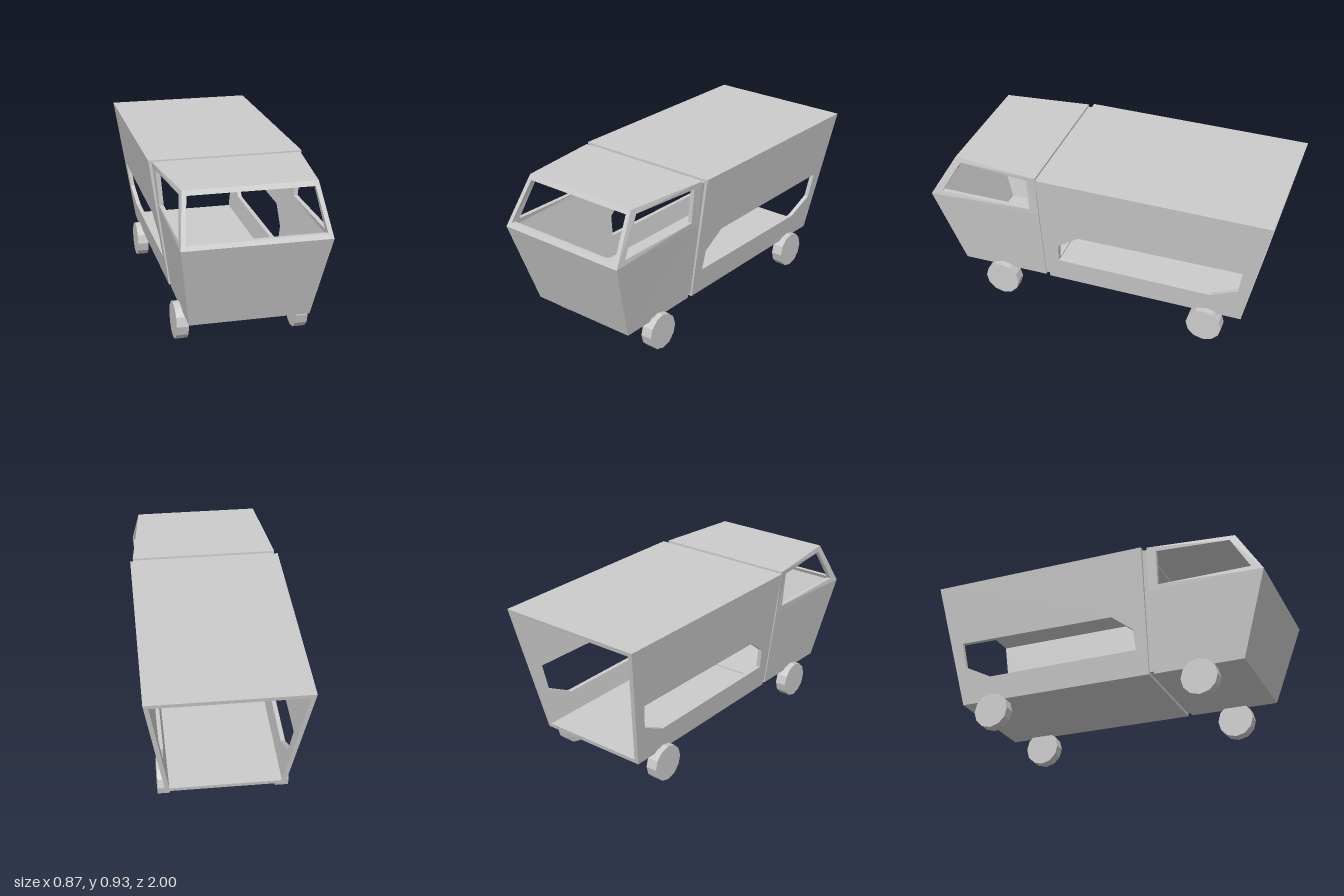
import * as THREE from 'three';

const T = 0.025; // wall thickness
const lerp = THREE.MathUtils.lerp;
const material = new THREE.MeshStandardMaterial({ color: 0xcccccc, flatShading: true, side: THREE.DoubleSide });

// Half-width of the cargo box, widening upwards
const cargoHalf = (y) => lerp(0.33, 0.436, (y - 0.18) / 0.745);

// Half-width of the joint between cab and cargo box
const jointHalf = (y) => lerp(0.32, 0.418, (y - 0.18) / 0.745);

// Half-width of the cab: flares up to the belt line, then the front leans inwards
function cabHalf(y, z) {
  const upper = y > 0.66;
  const v = upper ? (y - 0.66) / 0.265 : (y - 0.18) / 0.48;
  const front = upper ? lerp(0.4, 0.36, v) : lerp(0.33, 0.4, v);
  const back = upper ? lerp(0.39, 0.42, v) : lerp(0.325, 0.39, v);
  const nose = upper ? lerp(1, 0.84, v) : lerp(0.85, 1, v);
  return lerp(back, front, (z - 0.335) / (nose - 0.335));
}

// Extrudes a side profile of [z, y] points across x; place(y, z, d) gives x for d = 0..1
function profile(name, points, hole, place) {
  const toVectors = (list) => list.map(([z, y]) => new THREE.Vector2(-z, y));
  const shape = new THREE.Shape(toVectors(points));
  if (hole) shape.holes.push(new THREE.Path(toVectors(hole)));
  const geometry = new THREE.ExtrudeGeometry(shape, { depth: 1, bevelEnabled: false });
  geometry.rotateY(Math.PI / 2);
  const p = geometry.attributes.position;
  for (let i = 0; i < p.count; i++) p.setX(i, place(p.getY(i), p.getZ(i), p.getX(i)));
  geometry.computeVertexNormals();
  const mesh = new THREE.Mesh(geometry, material);
  mesh.name = name;
  return mesh;
}

// Mirrored pair of side walls following the half-width
function sidePair(group, name, points, hole, half, t = T) {
  group.add(
    profile('left' + name, points, hole, (y, z, d) => half(y, z) - t * (1 - d)),
    profile('right' + name, points, hole, (y, z, d) => -half(y, z) + t * d)
  );
}

// Panel spanning from one side wall to the other
function crossPanel(group, name, points, half) {
  group.add(profile(name, points, null, (y, z, d) => (2 * d - 1) * (half(y, z) - 0.001)));
}

function buildCab() {
  const cab = new THREE.Group();
  cab.name = 'cab';
  sidePair(cab, 'CabLowerSide', [[0.335, 0.18], [0.85, 0.18], [1, 0.66], [0.335, 0.66]], null, cabHalf);
  sidePair(cab, 'CabWindowFrame',
    [[0.335, 0.66], [1, 0.66], [0.84, 0.925], [0.335, 0.925]],
    [[0.39, 0.69], [0.93, 0.69], [0.81, 0.895], [0.39, 0.895]], cabHalf);
  crossPanel(cab, 'cabFloor', [[0.335, 0.18], [0.85, 0.18], [0.858, 0.205], [0.335, 0.205]], cabHalf);
  crossPanel(cab, 'cabRoof', [[0.335, 0.9], [0.855, 0.9], [0.84, 0.925], [0.335, 0.925]], cabHalf);
  crossPanel(cab, 'cabNose', [[0.85, 0.18], [1, 0.66], [0.973, 0.66], [0.823, 0.18]], cabHalf);
  crossPanel(cab, 'windscreenSill', [[1, 0.66], [0.986, 0.683], [0.96, 0.683], [0.973, 0.66]], cabHalf);
  return cab;
}

function buildJoint() {
  const joint = new THREE.Group();
  joint.name = 'joint';
  sidePair(joint, 'JointSide', [[0.3, 0.195], [0.345, 0.195], [0.345, 0.912], [0.3, 0.912]], null, jointHalf, 0.018);
  for (const [name, y] of [['jointFloor', 0.195], ['jointRoof', 0.894]])
    crossPanel(joint, name, [[0.3, y], [0.345, y], [0.345, y + 0.018], [0.3, y + 0.018]], jointHalf);
  return joint;
}

function buildCargo() {
  const cargo = new THREE.Group();
  cargo.name = 'cargoBox';
  const rear = (y) => lerp(-0.85, -1, (y - 0.18) / 0.745);
  sidePair(cargo, 'CargoSide',
    [[0.308, 0.18], [0.308, 0.925], [-1, 0.925], [-0.85, 0.18]],
    [[0.24, 0.33], [0.23, 0.45], [0.105, 0.545], [-0.85, 0.553], [-0.828, 0.405], [-0.67, 0.325]], cargoHalf);
  // Floor and roof, cut off along the sloping open rear
  for (const [name, y] of [['cargoFloor', 0.18], ['cargoRoof', 0.925 - T]])
    crossPanel(cargo, name, [[0.308, y], [rear(y), y], [rear(y + T), y + T], [0.308, y + T]], cargoHalf);
  return cargo;
}

function buildWheels() {
  const wheels = new THREE.Group();
  wheels.name = 'wheels';
  const geometry = new THREE.CylinderGeometry(0.104, 0.104, 0.067, 12).rotateZ(Math.PI / 2);
  for (const [end, z] of [['front', 0.605], ['rear', -0.645]])
    for (const [side, s] of [['Left', 1], ['Right', -1]]) {
      const wheel = new THREE.Mesh(geometry, material);
      wheel.name = end + side + 'Wheel';
      wheel.position.set(s * 0.334, 0.104, z);
      wheels.add(wheel);
    }
  return wheels;
}

export function createModel() {
  const model = new THREE.Group();
  model.name = 'van';
  model.add(buildCab(), buildJoint(), buildCargo(), buildWheels());
  return model;
}
